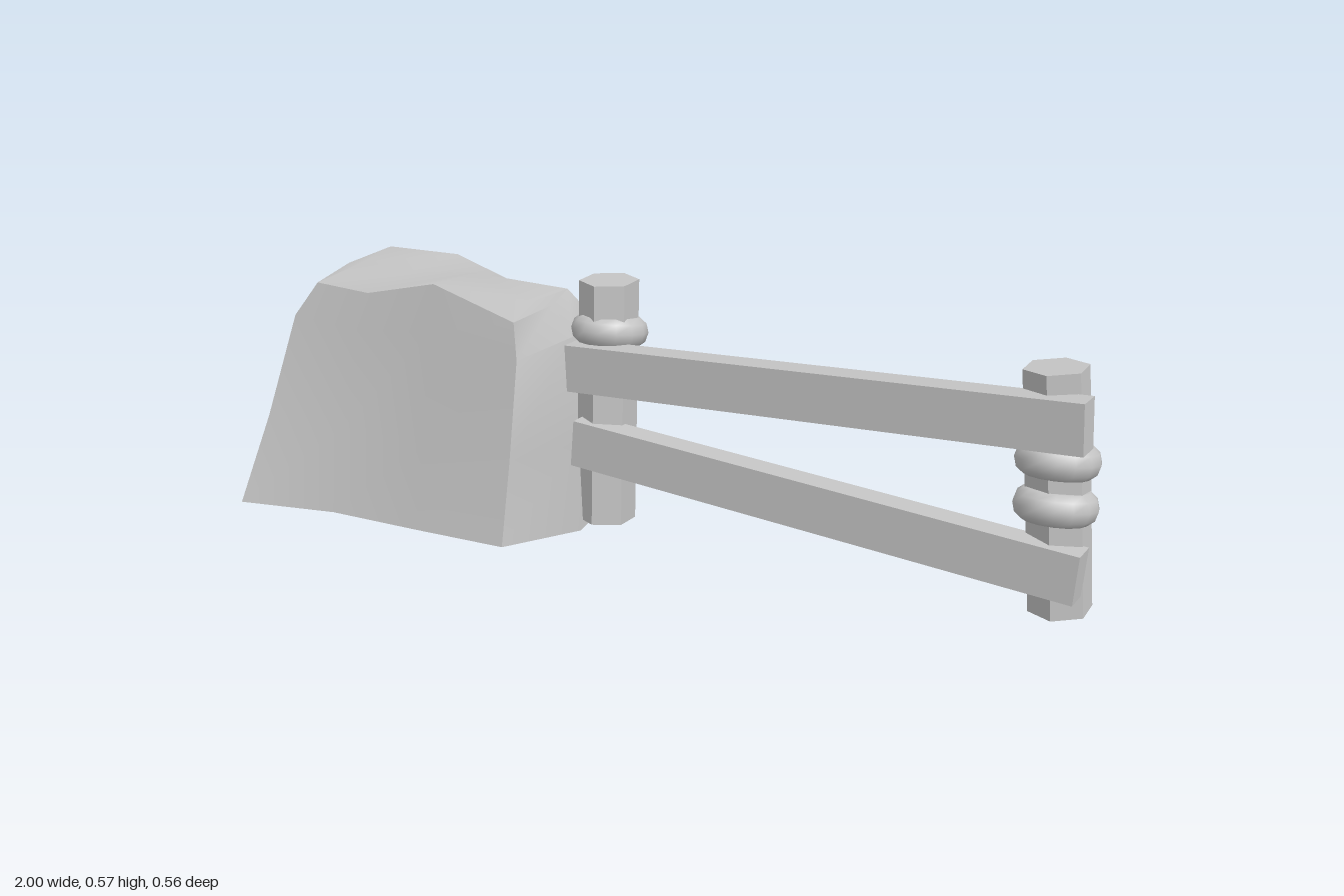
import * as THREE from 'three';
import { toCreasedNormals } from 'three/addons/utils/BufferGeometryUtils.js';

const grey = new THREE.MeshStandardMaterial({ color: 0xc4c4c4 });
grey.name = 'stone grey';

const V = (p) => new THREE.Vector3(...p);
const UP = new THREE.Vector3(0, 1, 0);

function addMesh(parent, name, geometry) {
  const mesh = new THREE.Mesh(geometry, grey);
  mesh.name = name;
  parent.add(mesh);
  return mesh;
}

// Boulder: ten columns around the outline, each running from the base to the top ridge
function boulderGeometry() {
  const ridge = { l: [-0.8, 0.53, -0.05], a: [-0.67, 0.52, -0.06], b: [-0.47, 0.545, -0.03], r: [-0.3, 0.505, 0] };
  const columns = [
    [[-1, 0.005, -0.09], [-0.96, 0.22, -0.08], [-0.91, 0.43, -0.07], [-0.85, 0.52, -0.06], ridge.l],
    [[-0.94, 0.005, 0.277], [-0.91, 0.2, 0.195], [-0.875, 0.43, 0.12], [-0.82, 0.51, 0.1], ridge.l],
    [[-0.7, 0.01, 0.24], [-0.7, 0.2, 0.185], [-0.69, 0.42, 0.13], [-0.67, 0.505, 0.11], ridge.a],
    [[-0.47, 0.01, 0.24], [-0.47, 0.2, 0.2], [-0.47, 0.45, 0.16], [-0.47, 0.555, 0.135], ridge.b],
    [[-0.24, 0.012, 0.24], [-0.24, 0.2, 0.2], [-0.235, 0.42, 0.17], [-0.25, 0.5, 0.155], ridge.r],
    [[-0.15, 0.002, 0.05], [-0.17, 0.2, 0.03], [-0.19, 0.44, 0.01], [-0.245, 0.505, 0], ridge.r],
    [[-0.2, 0.01, -0.25], [-0.21, 0.21, -0.205], [-0.22, 0.4, -0.195], [-0.29, 0.505, -0.14], ridge.r],
    [[-0.48, 0.005, -0.28], [-0.48, 0.23, -0.24], [-0.47, 0.4, -0.245], [-0.47, 0.49, -0.19], ridge.b],
    [[-0.7, 0.005, -0.268], [-0.69, 0.23, -0.24], [-0.67, 0.42, -0.258], [-0.66, 0.525, -0.24], ridge.a],
    [[-0.9, 0.005, -0.24], [-0.895, 0.2, -0.21], [-0.88, 0.42, -0.225], [-0.84, 0.53, -0.215], ridge.l],
  ];
  const out = [];
  const tri = (a, b, c) => {
    // skip the collapsed triangles along the ridge
    if (a !== b && b !== c && a !== c) out.push(...a, ...b, ...c);
  };
  const centre = [-0.58, 0, 0];
  columns.forEach((p, i) => {
    const q = columns[(i + 1) % columns.length];
    for (let j = 0; j < 4; j++) {
      tri(p[j], q[j], q[j + 1]);
      tri(p[j], q[j + 1], p[j + 1]);
    }
    tri(centre, q[0], p[0]);
  });
  const g = new THREE.BufferGeometry();
  g.setAttribute('position', new THREE.Float32BufferAttribute(out, 3));
  return toCreasedNormals(g, 0.75);
}

// Six-sided post between two points
function addPost(parent, name, bottom, top, slope) {
  const a = V(bottom), b = V(top);
  const g = new THREE.CylinderGeometry(0.066, 0.066, a.distanceTo(b), 6);
  const pos = g.attributes.position;
  for (let i = 0; i < pos.count; i++) {
    if (pos.getY(i) > 0) pos.setY(i, pos.getY(i) + slope * pos.getZ(i));
  }
  const post = addMesh(parent, name, toCreasedNormals(g, 0.3));
  post.position.copy(a).lerp(b, 0.5);
  post.quaternion.setFromUnitVectors(UP, b.clone().sub(a).normalize());
}

// Rope loop around a post, higher at the front
function addRope(parent, name, centre) {
  const g = new THREE.TorusGeometry(0.056, 0.03, 10, 14);
  g.rotateX(Math.PI / 2);
  g.scale(1, 1.15, 1);
  const rope = addMesh(parent, name, g);
  rope.position.set(...centre);
  rope.rotation.x = -0.16;
}

// Rectangular rail between two points
function addRail(parent, name, from, to) {
  const a = V(from), b = V(to);
  const rail = addMesh(parent, name, new THREE.BoxGeometry(a.distanceTo(b), 0.105, 0.06));
  rail.position.copy(a).lerp(b, 0.5);
  const d = b.sub(a);
  rail.rotation.set(0, -Math.atan2(d.z, d.x), Math.atan2(d.y, Math.hypot(d.x, d.z)));
}

export function createModel() {
  const model = new THREE.Group();
  model.name = 'boulderAndFence';

  addMesh(model, 'boulder', boulderGeometry());

  const fence = new THREE.Group();
  fence.name = 'fence';
  model.add(fence);

  addPost(fence, 'innerPost', [-0.12, 0.02, -0.012], [-0.12, 0.569, -0.034], -0.06);
  addPost(fence, 'outerPost', [0.932, 0.016, -0.012], [0.897, 0.526, 0.014], 0.03);

  addRope(fence, 'innerRope', [-0.12, 0.455, -0.035]);
  addRope(fence, 'outerRopeUpper', [0.913, 0.34, 0.014]);
  addRope(fence, 'outerRopeLower', [0.914, 0.243, 0.009]);

  addRail(fence, 'upperRail', [-0.177, 0.382, 0.03], [0.985, 0.437, 0.079]);
  addRail(fence, 'lowerRail', [-0.165, 0.21, 0.028], [0.985, 0.119, 0.053]);

  return model;
}
